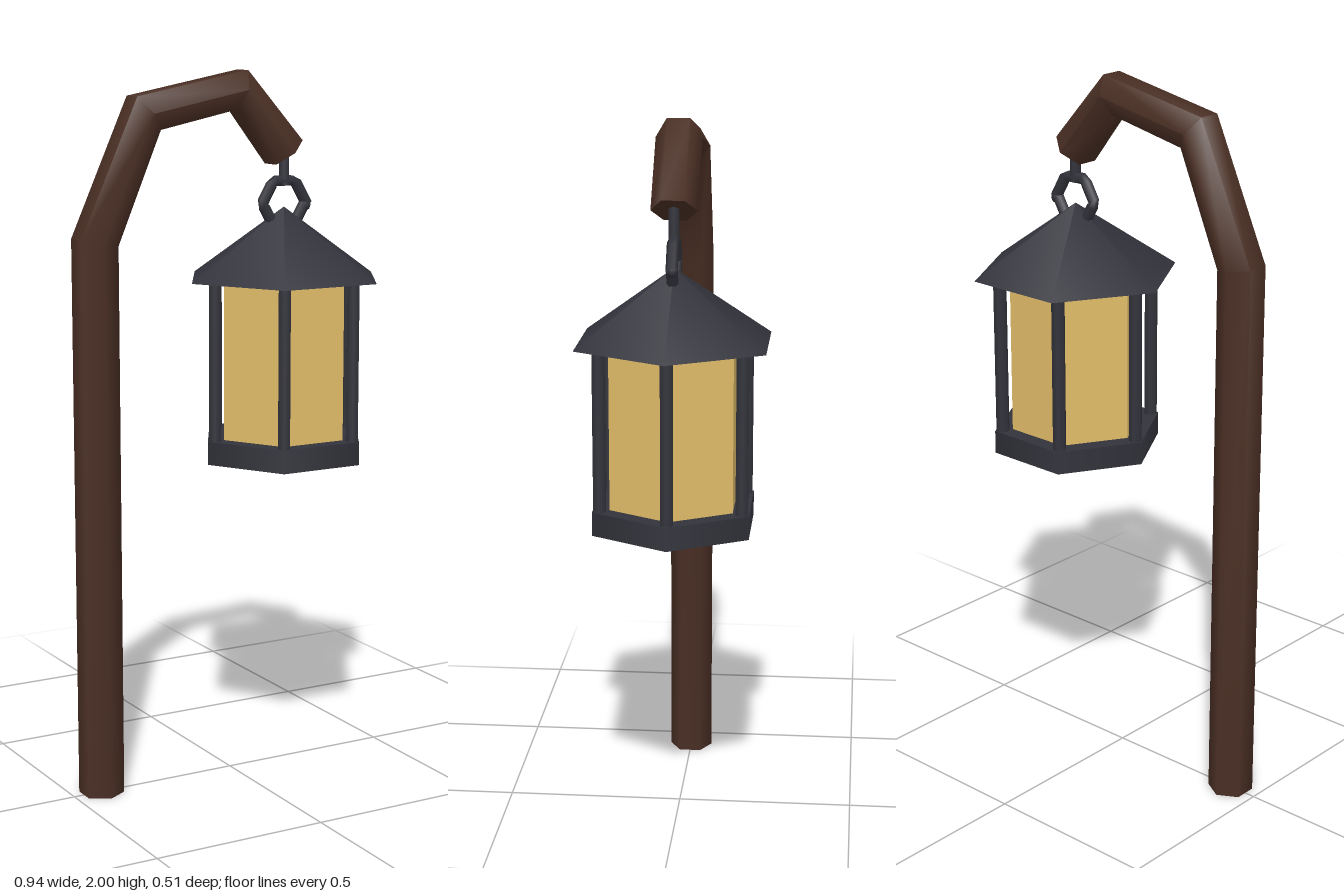
import * as THREE from 'three';
import { toCreasedNormals } from 'three/addons/utils/BufferGeometryUtils.js';

const wood = new THREE.MeshStandardMaterial({ color: 0x4a2f24 });
wood.name = 'dark wood';
const iron = new THREE.MeshStandardMaterial({ color: 0x33333c });
iron.name = 'dark iron';
const glass = new THREE.MeshStandardMaterial({ color: 0xe3be6a });
glass.name = 'amber glass';

function add(parent, name, geometry, material, x = 0, y = 0, z = 0) {
  const mesh = new THREE.Mesh(geometry, material);
  mesh.name = name;
  mesh.position.set(x, y, z);
  parent.add(mesh);
  return mesh;
}

// Six-sided prism or cone with its corners on the x axis
function hexagon(topRadius, bottomRadius, height) {
  return new THREE.CylinderGeometry(topRadius, bottomRadius, height, 6, 1, false, Math.PI / 2);
}

// Hexagonal post, bent by placing each ring between an outer and an inner edge
function postGeometry() {
  const r = 0.063;
  const rings = [ // outer x, outer y, inner x, inner y
    [-0.47, 0, -0.36, 0],
    [-0.47, 1.56, -0.36, 1.54],
    [-0.3, 1.935, -0.23, 1.845],
    [0.04, 2, 0.01, 1.895],
    [0.215, 1.805, 0.13, 1.74],
  ];
  const g = new THREE.CylinderGeometry(r, r, 1, 6, rings.length - 1);
  const p = g.attributes.position;
  for (let i = 0; i < p.count; i++) {
    const [ox, oy, ix, iy] = rings[Math.round((p.getY(i) + 0.5) * (rings.length - 1))];
    const t = 0.5 + p.getX(i) / (2 * r * Math.cos(Math.PI / 6));
    p.setXY(i, ox + (ix - ox) * t, oy + (iy - oy) * t);
  }
  return toCreasedNormals(g, 1.1);
}

// Thin six-sided bar following straight segments in the xy plane
function barGeometry(points, radius) {
  const path = new THREE.CurvePath();
  const v = points.map(([x, y]) => new THREE.Vector3(x, y, 0));
  for (let i = 1; i < v.length; i++) path.add(new THREE.LineCurve3(v[i - 1], v[i]));
  return new THREE.TubeGeometry(path, (v.length - 1) * 4, radius, 6, false);
}

export function createModel() {
  const model = new THREE.Group();
  model.name = 'lanternPost';
  add(model, 'post', postGeometry(), wood);

  const lantern = new THREE.Group();
  lantern.name = 'lantern';
  lantern.position.x = 0.174;
  model.add(lantern);

  add(lantern, 'base', hexagon(0.245, 0.245, 0.066), iron, 0, 0.938);
  add(lantern, 'roof', hexagon(0, 0.294, 0.2), iron, 0, 1.52);
  add(lantern, 'panes', toCreasedNormals(hexagon(0.193, 0.193, 0.45), 0.5), glass, 0, 1.195);

  // Corner bars
  for (let i = 0; i < 6; i++) {
    const a = (i * Math.PI) / 3;
    add(lantern, 'cornerBar', hexagon(0.019, 0.019, 0.46), iron,
      0.222 * Math.cos(a), 1.195, 0.222 * Math.sin(a));
  }

  // Hanger: a rod and a six-sided ring whose ends meet at the right
  add(lantern, 'rod', hexagon(0.016, 0.016, 0.11), iron, 0, 1.735);
  const ring = [];
  for (let i = 0; i <= 6; i++) {
    const a = (i * Math.PI) / 3;
    ring.push([0.07 * Math.cos(a), 1.632 + 0.07 * Math.sin(a)]);
  }
  ring[0] = [0.074, 1.625];
  add(lantern, 'ring', barGeometry(ring, 0.016), iron);
  add(lantern, 'ringEnd', new THREE.SphereGeometry(0.018, 6, 4), iron, 0.07, 1.624);

  return model;
}
